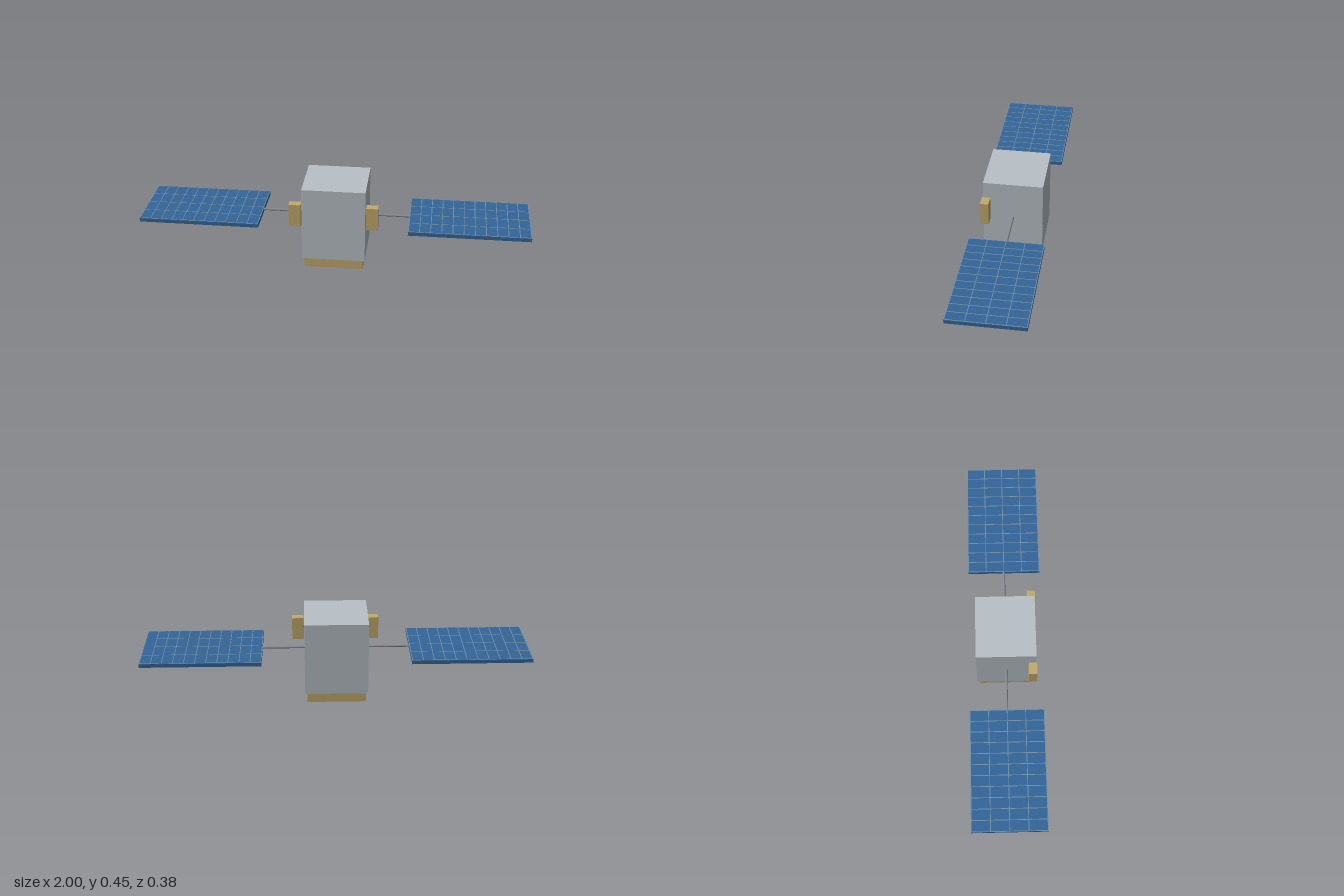
import * as THREE from 'three';

export function createModel() {
  const model = new THREE.Group();
  model.name = 'satellite';

  const material = (name, color) => {
    const m = new THREE.MeshStandardMaterial({ color });
    m.name = name;
    return m;
  };
  const silver = material('silver', 0xb8c0c6);
  const gold = material('gold foil', 0xc2aa6c);
  const blue = material('solar blue', 0x33659a);
  const grey = material('boom grey', 0x868c93);
  const lineBlue = material('grid line', 0x6d8fa8);

  // Box given by its lower and upper limits on each axis
  const box = (parent, name, mat, [x0, x1], [y0, y1], [z0, z1]) => {
    const mesh = new THREE.Mesh(new THREE.BoxGeometry(x1 - x0, y1 - y0, z1 - z0), mat);
    mesh.position.set((x0 + x1) / 2, (y0 + y1) / 2, (z0 + z1) / 2);
    mesh.name = name;
    parent.add(mesh);
  };

  // Main body and the foil-covered base
  box(model, 'body', silver, [-0.163, 0.163], [0.056, 0.449], [-0.152, 0.152]);
  box(model, 'base', gold, [-0.152, 0.152], [0, 0.053], [-0.137, 0.137]);

  const inner = 0.382, outer = 1, halfDepth = 0.19;
  const columns = 11, rows = 4, line = 0.002;

  for (const side of [1, -1]) {
    const wing = new THREE.Group();
    wing.name = side > 0 ? 'leftWing' : 'rightWing';
    model.add(wing);
    const span = (a, b) => (side > 0 ? [a, b] : [-b, -a]);

    // Instrument box on the flank
    box(wing, 'instrumentBox', gold, span(0.167, 0.228), [0.244, 0.365], [0.115, 0.157]);

    // Boom from the body to the panel
    const boom = new THREE.Mesh(new THREE.CylinderGeometry(0.006, 0.006, 0.25, 12), grey);
    boom.rotation.z = Math.PI / 2;
    boom.position.set(side * 0.275, 0.253, 0);
    boom.name = 'boom';
    wing.add(boom);

    // Solar panel with thin raised grid lines
    box(wing, 'solarPanel', blue, span(inner, outer), [0.242, 0.262], [-halfDepth, halfDepth]);
    for (let i = 0; i <= columns; i++) {
      const x = THREE.MathUtils.lerp(inner + line, outer - line, i / columns);
      box(wing, 'columnLine', lineBlue, span(x - line, x + line), [0.261, 0.264], [-halfDepth, halfDepth]);
    }
    for (let j = 0; j <= rows; j++) {
      const z = THREE.MathUtils.lerp(-halfDepth + line, halfDepth - line, j / rows);
      box(wing, 'rowLine', lineBlue, span(inner, outer), [0.261, 0.2642], [z - line, z + line]);
    }
  }

  return model;
}
